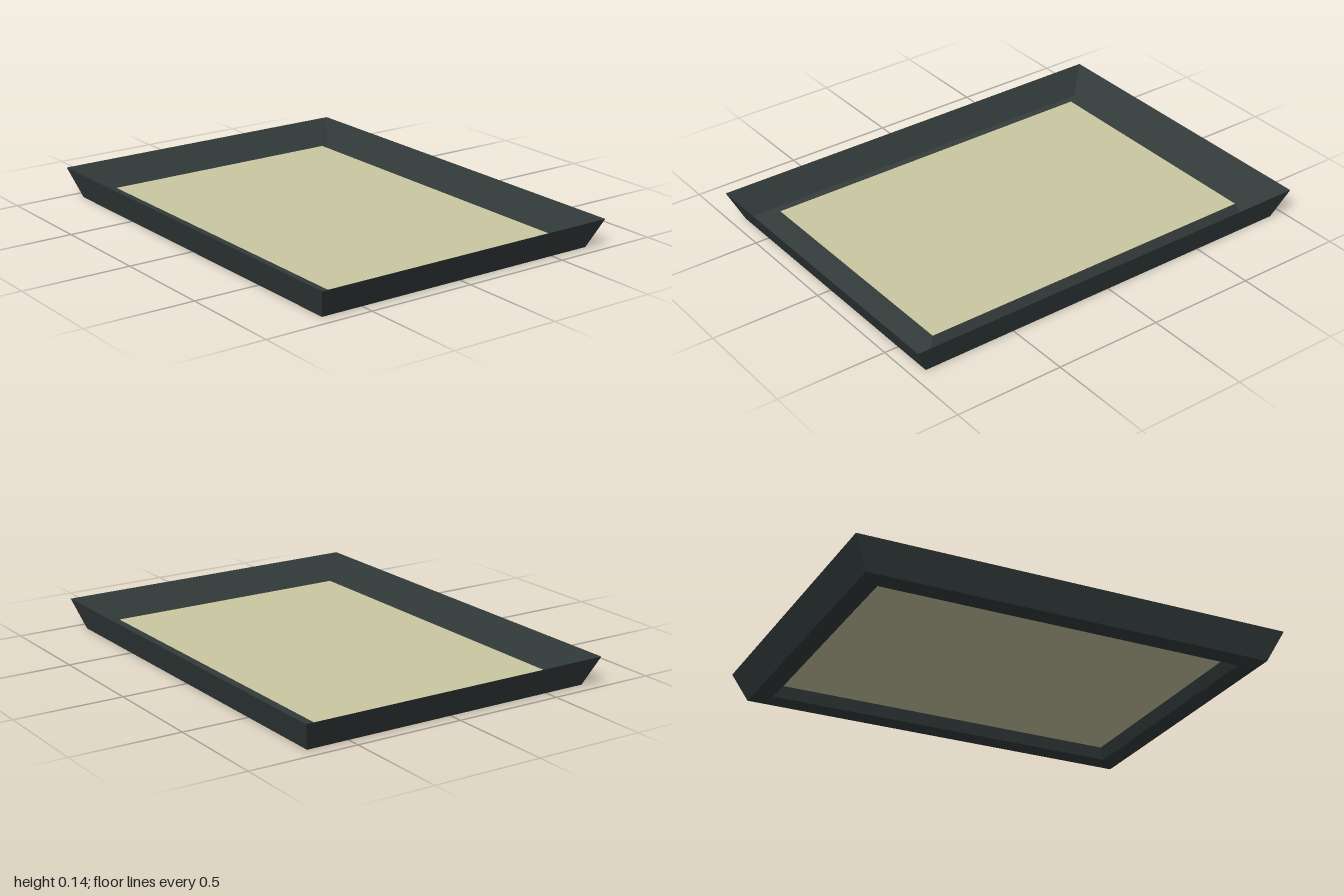
import * as THREE from 'three';

const frameMat = new THREE.MeshStandardMaterial({ color: 0x353d3d, side: THREE.DoubleSide });
frameMat.name = 'dark slate frame';
const panelMat = new THREE.MeshStandardMaterial({ color: 0xcbc7a3, side: THREE.DoubleSide });
panelMat.name = 'pale sand panel';

// Rectangular ring of four mitred faces between two [halfX, y, halfZ] outlines
function ring(outer, inner) {
  const corners = ([x, y, z]) => [[-x, y, z], [x, y, z], [x, y, -z], [-x, y, -z]];
  const a = corners(outer), b = corners(inner), pos = [];
  for (let i = 0; i < 4; i++) {
    const j = (i + 1) % 4;
    pos.push(...a[i], ...a[j], ...b[j], ...a[i], ...b[j], ...b[i]);
  }
  const geo = new THREE.BufferGeometry();
  geo.setAttribute('position', new THREE.Float32BufferAttribute(pos, 3));
  geo.computeVertexNormals();
  return geo;
}

export function createModel() {
  const group = new THREE.Group();
  group.name = 'tray';

  // Outlines from the flared rim, down to the base and up to the raised panel
  const rim = [0.74, 0.135, 1];
  const foot = [0.694, 0, 0.935];
  const baseInner = [0.6, 0, 0.846];
  const panelEdge = [0.583, 0.053, 0.822];

  const add = (name, geo, mat) => {
    const mesh = new THREE.Mesh(geo, mat);
    mesh.name = name;
    group.add(mesh);
    return mesh;
  };
  add('flaredWalls', ring(rim, foot), frameMat);
  add('baseBorder', ring(foot, baseInner), frameMat);
  add('innerBevel', ring(baseInner, panelEdge), frameMat);

  // Flat raised panel closing the middle
  const panel = add('centrePanel', new THREE.PlaneGeometry(panelEdge[0] * 2, panelEdge[2] * 2), panelMat);
  panel.rotation.x = -Math.PI / 2;
  panel.position.y = panelEdge[1];

  return group;
}
